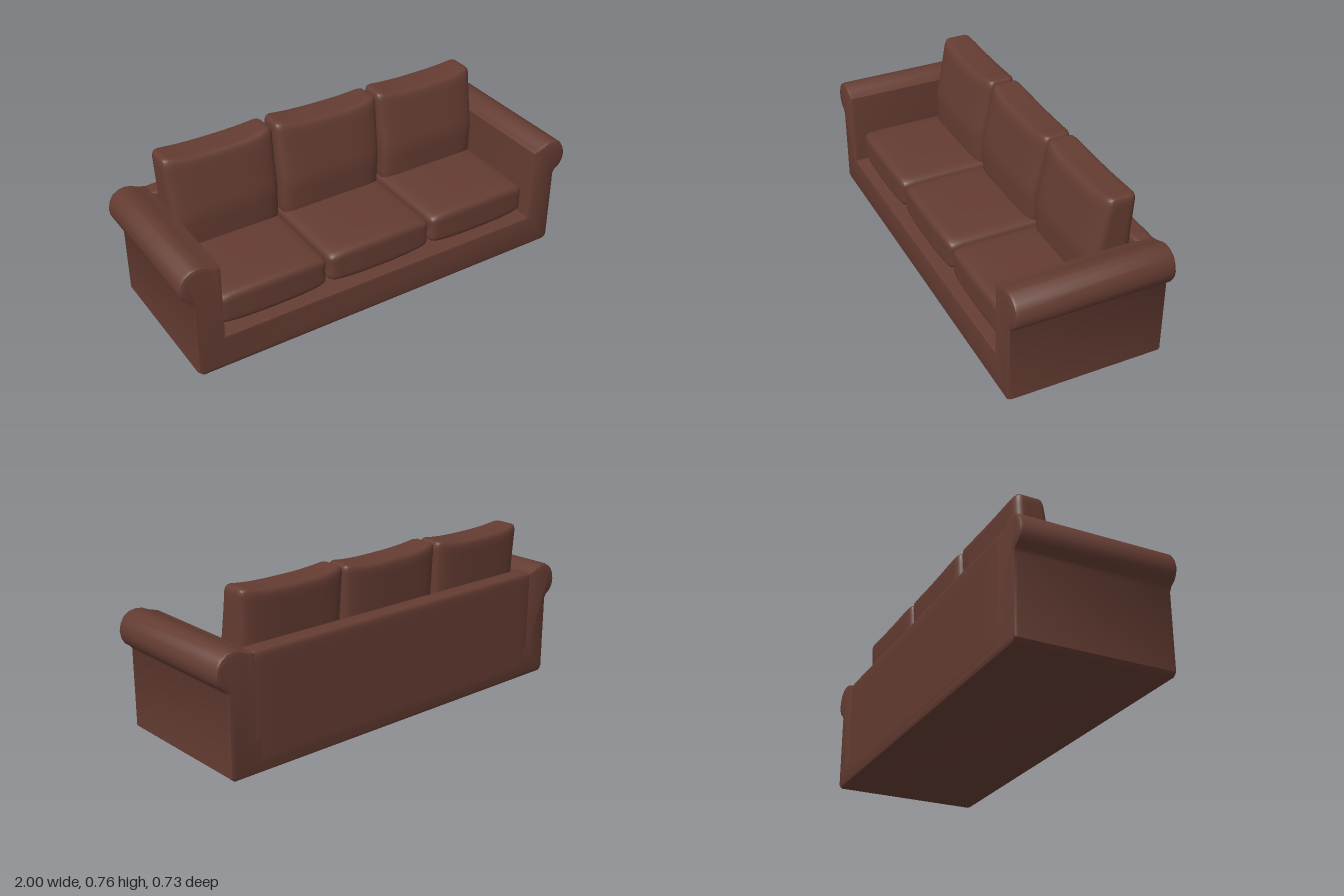
import * as THREE from 'three';
import { mergeVertices, toCreasedNormals } from 'three/addons/utils/BufferGeometryUtils.js';

const leather = new THREE.MeshStandardMaterial({ color: 0x643c32 });

// Smooth rounded block, vertices clustered toward the edges, then bent by warp(p, u, v, w)
// where u, v, w run from -1 to 1 across the width, height and depth.
function softBlock(name, w, h, d, r, warp) {
  let geo = new THREE.BoxGeometry(2, 2, 2, 18, 18, 14);
  geo.deleteAttribute('uv');
  geo.deleteAttribute('normal');
  geo = mergeVertices(geo);
  const half = new THREE.Vector3(w / 2, h / 2, d / 2);
  const inner = half.clone().subScalar(r);
  const pos = geo.attributes.position;
  const p = new THREE.Vector3(), core = new THREE.Vector3();
  const ease = (t) => Math.sin((t * Math.PI) / 2);
  for (let i = 0; i < pos.count; i++) {
    p.fromBufferAttribute(pos, i);
    p.set(ease(p.x), ease(p.y), ease(p.z)).multiply(half);
    core.copy(p).clamp(inner.clone().negate(), inner);
    const off = p.clone().sub(core);
    if (off.lengthSq() > 1e-12) p.copy(core).add(off.setLength(Math.min(r, Math.max(Math.abs(off.x), Math.abs(off.y), Math.abs(off.z)))));
    if (warp) warp(p, p.x / half.x, p.y / half.y, p.z / half.z);
    pos.setXYZ(i, p.x, p.y, p.z);
  }
  geo.computeVertexNormals();
  const mesh = new THREE.Mesh(geo, leather);
  mesh.name = name;
  return mesh;
}

// Base and both rolled arms as one U-shaped section, with chamfered ends
function makeFrame() {
  const side = [
    [0.925, 0], [0.945, 0.018], [0.945, 0.375], [0.955, 0.392], [0.98, 0.41], [0.995, 0.435],
    [1.0, 0.465], [0.993, 0.5], [0.975, 0.53], [0.945, 0.549], [0.915, 0.554], [0.885, 0.549],
    [0.86, 0.537], [0.835, 0.529], [0.81, 0.522], [0.81, 0.165],
  ];
  const outline = [...side, ...side.map(([x, y]) => [-x, y]).reverse()];
  const bevel = 0.016, depth = 0.724;
  const geo = new THREE.ExtrudeGeometry(new THREE.Shape(outline.map(([x, y]) => new THREE.Vector2(x, y))), {
    depth: depth - 2 * bevel, bevelEnabled: true, bevelThickness: bevel,
    bevelSize: bevel, bevelOffset: -bevel, bevelSegments: 2,
  });
  geo.translate(0, 0, -depth / 2 + bevel);
  const mesh = new THREE.Mesh(toCreasedNormals(geo, 0.75), leather);
  mesh.name = 'baseAndArms';
  return mesh;
}

// Flat pillow, thinner toward its corners
function seatCushion(p, u, v, w) {
  p.y *= 1 - 0.2 * u ** 4 - 0.08 * w ** 4;
  p.z += w > 0 ? 0.008 * (1 - u * u) * w : 0;
  p.x *= 1 - 0.015 * (1 - Math.abs(v));
}

// Upright pillow: front leans back, sides thin out, top corners pull up
function backCushion(p, u, v, w) {
  const t = (v + 1) / 2;
  const lean = Math.max(0, t - 0.4);
  const front = -0.07 - 0.1 * lean, back = -0.274 - 0.016 * t;
  const mid = (front + back) / 2, thick = (front - back) / 2;
  p.z = mid + w * thick * (1 - 0.25 * Math.abs(u) ** 5);
  p.x *= 0.97 + 0.03 * t + 0.012 * Math.max(0, v) ** 6;
  p.y += 0.024 * Math.abs(u) ** 3 * Math.max(0, v) ** 2;
}

export function createModel() {
  const sofa = new THREE.Group();
  sofa.name = 'sofa';
  sofa.add(makeFrame());

  const backrest = softBlock('backrest', 1.66, 0.51, 0.093, 0.025);
  backrest.position.set(0, 0.275, -0.3165);
  sofa.add(backrest);

  // Three seat and three back cushions
  ['right', 'middle', 'left'].forEach((side, i) => {
    const x = (i - 1) * 0.544 - 0.002;
    const seat = softBlock(side + 'SeatCushion', 0.538, 0.178, 0.57, 0.035, seatCushion);
    seat.position.set(x, 0.252, 0.025);
    const back = softBlock(side + 'BackCushion', 0.534, 0.44, 0.2, 0.035, backCushion);
    back.position.set(x, 0.518, 0);
    back.rotation.z = i === 1 ? -0.02 : 0;
    sofa.add(seat, back);
  });
  return sofa;
}
